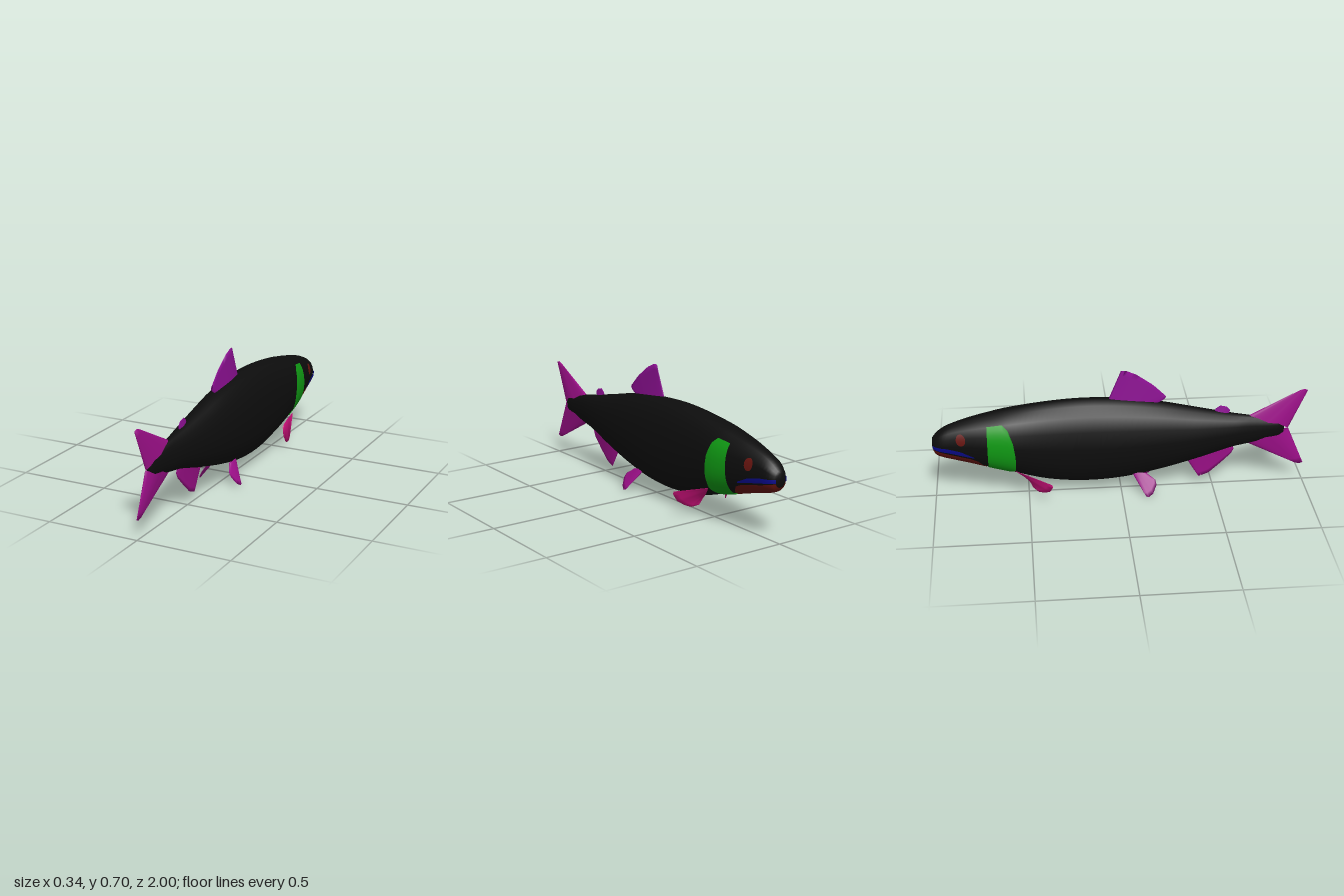
import * as THREE from 'three';
import { mergeVertices } from 'three/addons/utils/BufferGeometryUtils.js';

const paint = (name, color) => {
  const m = new THREE.MeshStandardMaterial({ color, side: THREE.DoubleSide });
  m.name = name;
  return m;
};

// Body sections: z, top y, bottom y, half width
const SECTIONS = [
  [-1, 0.355, 0.295, 0.022], [-0.985, 0.375, 0.268, 0.042], [-0.95, 0.405, 0.25, 0.058],
  [-0.9, 0.43, 0.235, 0.068], [-0.8, 0.462, 0.208, 0.088], [-0.7, 0.486, 0.178, 0.106],
  [-0.6, 0.507, 0.15, 0.118], [-0.4, 0.536, 0.09, 0.12], [-0.2, 0.549, 0.067, 0.121],
  [0, 0.54, 0.077, 0.119], [0.2, 0.512, 0.115, 0.108], [0.4, 0.468, 0.168, 0.087],
  [0.6, 0.425, 0.228, 0.056], [0.7, 0.408, 0.245, 0.038], [0.8, 0.385, 0.268, 0.024],
  [0.88, 0.37, 0.283, 0.012],
];

// Smooth interpolation of a table whose first column is z
function sample(table, z) {
  const n = table.length - 1;
  let i = 0;
  while (i < n - 1 && z > table[i + 1][0]) i++;
  const a = table[i], b = table[i + 1], d = b[0] - a[0];
  const t = THREE.MathUtils.clamp((z - a[0]) / d, 0, 1);
  const slope = (k, c) => {
    const p = table[Math.max(k - 1, 0)], q = table[Math.min(k + 1, n)];
    return (q[c] - p[c]) / (q[0] - p[0]);
  };
  return a.slice(1).map((v, j) => {
    const c = j + 1, m0 = slope(i, c) * d, m1 = slope(i + 1, c) * d;
    const t2 = t * t, t3 = t2 * t;
    return (2 * t3 - 3 * t2 + 1) * v + (t3 - 2 * t2 + t) * m0
      + (3 * t2 - 2 * t3) * b[c] + (t3 - t2) * m1;
  });
}

// Grid surface from a rule fn(u, v) -> [x, y, z]
function grid(nu, nv, fn) {
  const pos = [], idx = [];
  for (let i = 0; i <= nu; i++)
    for (let j = 0; j <= nv; j++) pos.push(...fn(i / nu, j / nv));
  for (let i = 0; i < nu; i++)
    for (let j = 0; j < nv; j++) {
      const a = i * (nv + 1) + j, b = a + nv + 1;
      idx.push(a, b, a + 1, b, b + 1, a + 1);
    }
  let g = new THREE.BufferGeometry();
  g.setAttribute('position', new THREE.Float32BufferAttribute(pos, 3));
  g.setIndex(idx);
  g = mergeVertices(g, 1e-5);
  g.computeVertexNormals();
  return g;
}

// Point on the body skin, angle measured up from the flank
function skin(z, angle, lift = 0) {
  const [top, bottom, w] = sample(SECTIONS, z);
  const round = (v) => Math.sign(v) * Math.abs(v) ** 0.92;
  return [
    (w + lift) * round(Math.cos(angle)),
    (top + bottom) / 2 + ((top - bottom) / 2 + lift) * round(Math.sin(angle)), z,
  ];
}

// Thin patch lying on the flank; rows are z, low y, high y
function patch(rows, side, lift) {
  const z0 = rows[0][0], z1 = rows[rows.length - 1][0];
  return grid(28, 14, (u, v) => {
    const z = z0 + (z1 - z0) * u;
    let i = 0;
    while (i < rows.length - 2 && z > rows[i + 1][0]) i++;
    const a = rows[i], b = rows[i + 1], t = (z - a[0]) / (b[0] - a[0]);
    const [top, bottom] = sample(SECTIONS, z);
    const angle = (y) => {
      const s = THREE.MathUtils.clamp((2 * y - top - bottom) / (top - bottom), -1, 1);
      return Math.asin(Math.sign(s) * Math.abs(s) ** (1 / 0.92));
    };
    const lo = angle(a[1] + (b[1] - a[1]) * t), hi = angle(a[2] + (b[2] - a[2]) * t);
    const p = skin(z, lo + (hi - lo) * v, lift);
    return [p[0] * side, p[1], p[2]];
  });
}

// Point along a polyline
function along(pts, u) {
  const f = u * (pts.length - 1), i = Math.min(Math.floor(f), pts.length - 2);
  return new THREE.Vector3(...pts[i]).lerp(new THREE.Vector3(...pts[i + 1]), f - i);
}

// Lens-shaped fin from a root line to a thin outer edge
function fin(root, edge, thickness, normal = [1, 0, 0]) {
  const n = new THREE.Vector3(...normal).normalize();
  return grid(24, 12, (u, v) => {
    const s = v < 0.5 ? 1 : -1, out = s > 0 ? v * 2 : 2 - v * 2;
    const p = along(root, u).lerp(along(edge, u), out);
    const half = thickness * (1 - out) * Math.sqrt(Math.max(0, Math.sin(Math.PI * u)));
    return p.addScaledVector(n, half * s).toArray();
  });
}

export function createModel() {
  const model = new THREE.Group();
  const black = paint('body black', 0x0d0d0d);
  const green = paint('gill green', 0x109a14);
  const red = paint('jaw dark red', 0x66140f);
  const blue = paint('mouth blue', 0x0a0a8c);
  const purple = paint('dorsal purple', 0x8c1092);
  const magenta = paint('fin magenta', 0x9e108a);
  const pink = paint('pectoral pink', 0xc81078);
  const add = (name, geometry, material) => {
    const m = new THREE.Mesh(geometry, material);
    m.name = name;
    model.add(m);
  };
  const mirror = (pts, s) => pts.map(([x, y, z]) => [x * s, y, z]);
  const flat = (pts) => pts.map(([z, y]) => [0, y, z]);

  // Body with closed nose and tail end
  add('body', grid(66, 16, (u, v) => {
    const i = Math.round(u * 66);
    if (i === 0) return [0, 0.325, -1];
    if (i === 66) return [0, 0.325, 0.88];
    const t = (i - 1) / 64;
    return skin(-1 + 1.88 * t ** 1.3, v * Math.PI * 2 - Math.PI / 2);
  }), black);

  // Painted head details on both sides
  const eye = [];
  for (let i = 0; i <= 12; i++) {
    const a = Math.PI * i / 12, h = 0.031 * Math.sin(a);
    eye.push([-0.848 - 0.025 * Math.cos(a), 0.373 - h, 0.373 + h]);
  }
  const gill = [[-0.71, 0.17, 0.445], [-0.63, 0.155, 0.457], [-0.6, 0.162, 0.43],
    [-0.575, 0.175, 0.36], [-0.565, 0.188, 0.28]];
  const jaw = [[-0.995, 0, 0.305], [-0.9, 0, 0.283], [-0.8, 0, 0.262],
    [-0.76, 0, 0.245], [-0.72, 0, 0.195]];
  const lip = [[-0.997, 0.308, 0.326], [-0.92, 0.298, 0.322], [-0.85, 0.284, 0.308],
    [-0.78, 0.27, 0.276]];

  // Paired fins
  const pectoralRoot = [[0.1, 0.19, -0.57], [0.085, 0.155, -0.535], [0.07, 0.12, -0.5]];
  const pectoralEdge = [[0.172, 0.135, -0.38], [0.172, 0.12, -0.375], [0.157, 0.085, -0.39],
    [0.13, 0.065, -0.42], [0.11, 0.06, -0.45], [0.085, 0.075, -0.48]];
  const pelvic = (pts) => pts.map(([z, y]) => [0.05 + (0.115 - y) * 0.63, y, z]);
  const pelvicRoot = pelvic([[0.055, 0.118], [0.095, 0.115], [0.135, 0.11]]);
  const pelvicEdge = pelvic([[0.125, 0.005], [0.14, 0], [0.165, 0.016], [0.185, 0.055], [0.18, 0.078]]);

  for (const [side, s] of [['left', 1], ['right', -1]]) {
    add(side + 'Eye', patch(eye, s, 0.004), red);
    add(side + 'GillCover', patch(gill, s, 0.004), green);
    add(side + 'LowerJaw', patch(jaw, s, 0.003), red);
    add(side + 'MouthLine', patch(lip, s, 0.005), blue);
    add(side + 'PectoralFin', fin(mirror(pectoralRoot, s), mirror(pectoralEdge, s), 0.008, [0.8 * s, 0.35, -0.4]), pink);
    add(side + 'PelvicFin', fin(mirror(pelvicRoot, s), mirror(pelvicEdge, s), 0.011, [s, 0.63, 0]), magenta);
  }

  // Fins on the centre line
  add('dorsalFin', fin(flat([[-0.075, 0.52], [0.05, 0.51], [0.17, 0.49]]),
    flat([[0, 0.705], [0.025, 0.704], [0.08, 0.68], [0.17, 0.615], [0.24, 0.545], [0.232, 0.53]]), 0.012), purple);
  add('adiposeFin', fin(flat([[0.5, 0.425], [0.57, 0.415]]),
    flat([[0.505, 0.457], [0.53, 0.476], [0.565, 0.468], [0.585, 0.448], [0.582, 0.435]]), 0.008), purple);
  add('analFin', fin(flat([[0.35, 0.17], [0.47, 0.2], [0.6, 0.24]]),
    flat([[0.425, 0.045], [0.44, 0.05], [0.48, 0.065], [0.545, 0.125], [0.6, 0.18], [0.614, 0.21]]), 0.014), magenta);
  for (const [name, s] of [['upperTailLobe', 1], ['lowerTailLobe', -1]]) {
    const lobe = (pts) => flat(pts.map(([z, y]) => [z, 0.325 + s * y]));
    add(name, fin(lobe([[0.68, 0.08], [0.78, 0.045], [0.85, 0.035], [0.905, 0]]),
      lobe([[0.955, 0.222], [0.98, 0.229], [1, 0.222]]), 0.02), magenta);
  }
  return model;
}
